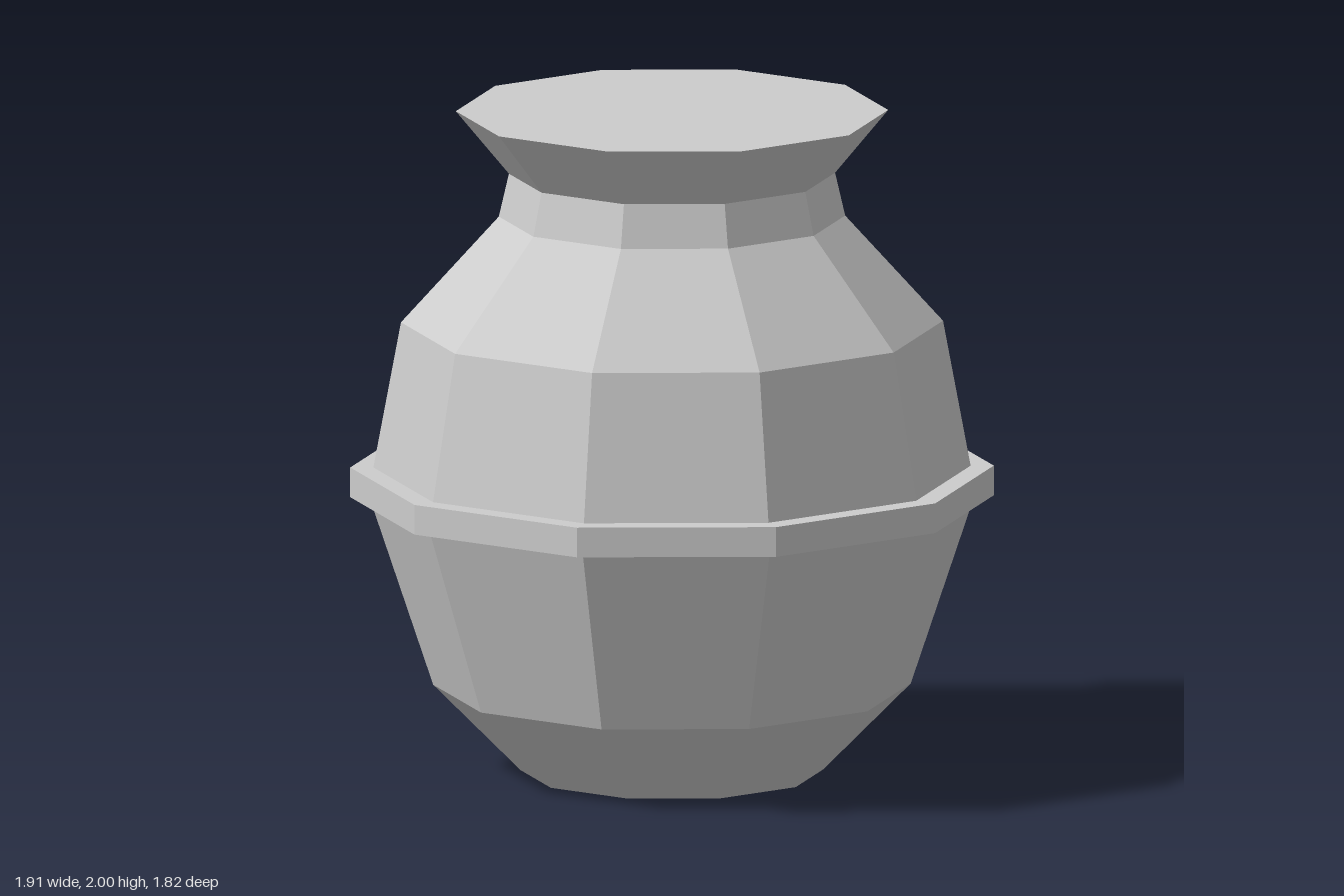
import * as THREE from 'three';

const SIDES = 10;

export function createModel() {
  const clay = new THREE.MeshStandardMaterial({ color: 0xcccccc, flatShading: true });
  clay.name = 'light grey clay';
  const group = new THREE.Group();
  group.name = 'vase';

  // Ten-sided ring of faces from a bottom-to-top profile, with corners on the x axis
  const turn = (name, profile) => {
    const points = profile.map(([r, y]) => new THREE.Vector2(r, y));
    const mesh = new THREE.Mesh(new THREE.LatheGeometry(points, SIDES, Math.PI / 2), clay);
    mesh.name = name;
    group.add(mesh);
  };

  // Closed base and lower belly
  turn('lowerBody', [[0, 0], [0.45, 0], [0.71, 0.26], [0.9, 0.83]]);
  // Raised belt around the widest part
  turn('belt', [[0.9, 0.83], [0.957, 0.83], [0.957, 0.92], [0.888, 0.92]]);
  // Upper belly and shoulder
  turn('upperBody', [[0.888, 0.92], [0.806, 1.36], [0.515, 1.68]]);
  // Short neck
  turn('neck', [[0.515, 1.68], [0.485, 1.81]]);
  // Flared rim with a flat closed top
  turn('rim', [[0.485, 1.81], [0.643, 2], [0, 2]]);

  return group;
}
